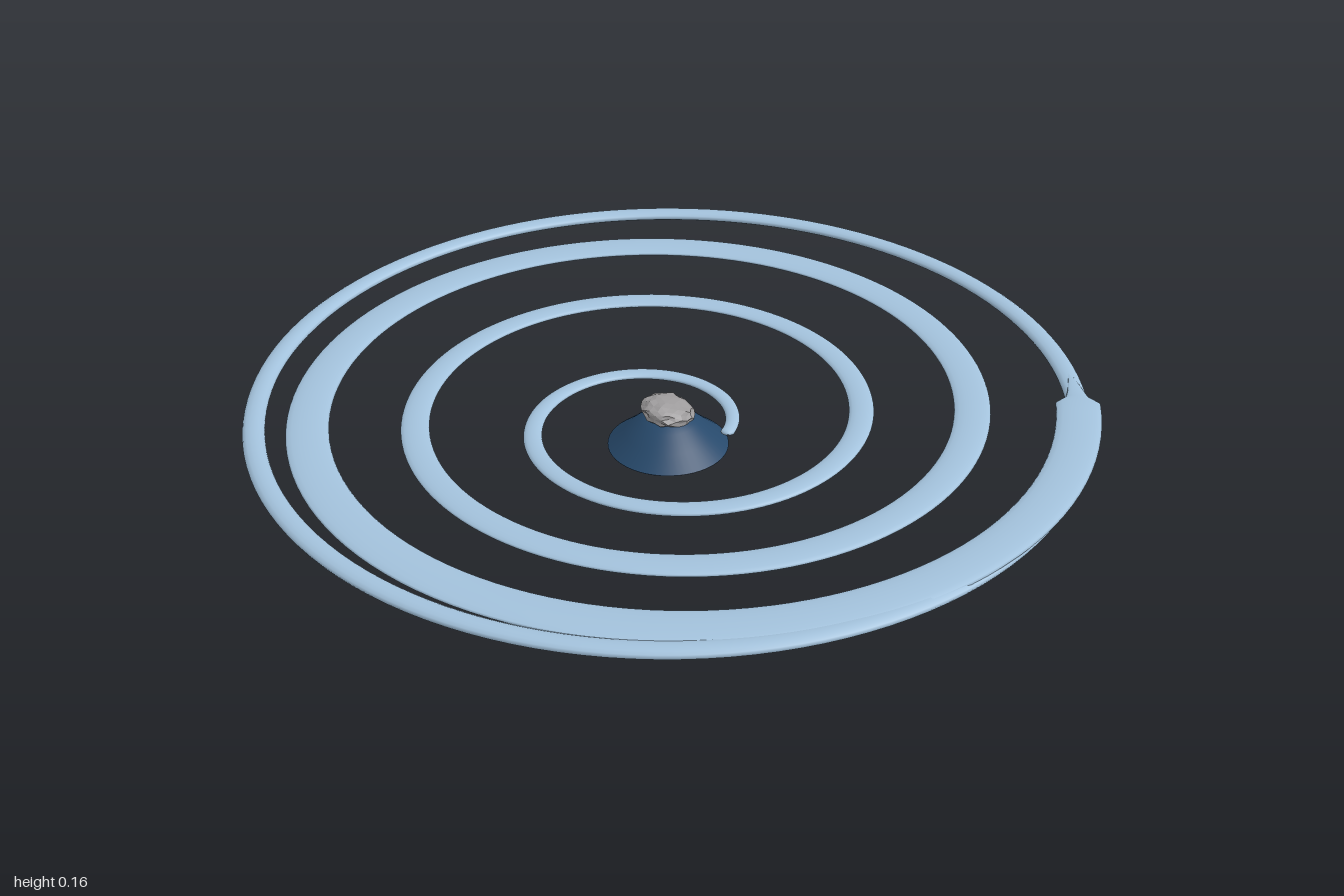
import * as THREE from 'three';

const paleBlue = new THREE.MeshStandardMaterial({ color: 0xa3c2dc, name: 'pale blue' });
const deepBlue = new THREE.MeshStandardMaterial({ color: 0x27496b, name: 'deep blue', side: THREE.DoubleSide });
const stoneGrey = new THREE.MeshStandardMaterial({ color: 0x9c9a9b, name: 'stone grey', flatShading: true });

// One entry per quarter turn: distance from the centre, height, half width
const QUARTERS = [
  [0.135, 0.03, 0.018], [0.238, 0.045, 0.021], [0.326, 0.057, 0.022], [0.382, 0.07, 0.026],
  [0.452, 0.083, 0.03], [0.53, 0.097, 0.031], [0.6, 0.104, 0.033], [0.651, 0.111, 0.039],
  [0.711, 0.118, 0.043], [0.782, 0.125, 0.047], [0.845, 0.132, 0.049], [0.898, 0.14, 0.055],
  [0.953, 0.147, 0.052],
];

// Flattened tube that widens and climbs as it winds outwards
function spiralGeometry() {
  const rule = new THREE.CatmullRomCurve3(
    QUARTERS.map((q) => new THREE.Vector3(...q)), false, 'catmullrom', 0.5);
  const total = (QUARTERS.length - 1) * Math.PI / 2;
  const sides = 16, steps = 384, halfHeight = 0.009;

  // Stations: angle and width factor, with a rounded start and a spiked end
  const stations = [[-0.11, 0], [-0.09, 0.55], [-0.05, 0.87]];
  const last = total - 0.09;
  for (let i = 0; i <= steps; i++) stations.push([last * i / steps, 1]);
  stations.push([total - 0.06, 0.5], [total - 0.03, 0.36], [total + 0.02, 0.18], [total + 0.06, 0]);

  const positions = [], index = [];
  stations.forEach(([angle, scale], i) => {
    const p = rule.getPoint(THREE.MathUtils.clamp(angle / total, 0, 1));
    for (let j = 0; j < sides; j++) {
      const phi = j / sides * Math.PI * 2;
      const r = p.x + Math.cos(phi) * p.z * scale;
      positions.push(r * Math.cos(angle), p.y + Math.sin(phi) * halfHeight * scale, -r * Math.sin(angle));
      if (i === stations.length - 1) continue;
      const k = (j + 1) % sides;
      const a = i * sides + j, d = i * sides + k;
      index.push(a, a + sides, d, a + sides, d + sides, d);
    }
  });
  const geometry = new THREE.BufferGeometry();
  geometry.setAttribute('position', new THREE.Float32BufferAttribute(positions, 3));
  geometry.setIndex(index);
  geometry.computeVertexNormals();
  return geometry;
}

// Rough lump: an icosahedron with each corner pushed in or out
function lumpGeometry() {
  const geometry = new THREE.IcosahedronGeometry(1, 3);
  const pos = geometry.attributes.position;
  const v = new THREE.Vector3();
  for (let i = 0; i < pos.count; i++) {
    v.fromBufferAttribute(pos, i);
    const bump = Math.sin(v.x * 7 + 1) * Math.sin(v.y * 8 + 2) * Math.sin(v.z * 7.5 + 0.5);
    v.multiplyScalar(1 + 0.12 * bump);
    pos.setXYZ(i, v.x, v.y, v.z);
  }
  geometry.computeVertexNormals();
  return geometry;
}

export function createModel() {
  const model = new THREE.Group();
  model.name = 'spiralModel';
  const add = (name, geometry, material) => {
    const mesh = new THREE.Mesh(geometry, material);
    mesh.name = name;
    model.add(mesh);
    return mesh;
  };

  add('spiralArm', spiralGeometry(), paleBlue);

  // Outer ring, flattened
  const ring = add('outerRing', new THREE.TorusGeometry(0.962, 0.026, 14, 128).rotateX(Math.PI / 2), paleBlue);
  ring.scale.y = 0.48;
  ring.position.set(-0.01, 0.135, 0);

  // Low conical hub with a flat underside
  const profile = [[0, 0], [0.145, 0], [0.145, 0.001], [0.105, 0.034], [0.07, 0.066], [0.035, 0.083], [0, 0.088]]
    .map(([x, y]) => new THREE.Vector2(x, y));
  const hub = add('hub', new THREE.LatheGeometry(profile, 48), deepBlue);
  hub.position.x = -0.008;

  // Lump resting on the hub
  const lump = add('lump', lumpGeometry(), stoneGrey);
  lump.scale.set(0.064, 0.03, 0.062);
  lump.rotation.z = -0.2;
  lump.position.set(-0.01, 0.088, -0.005);

  return model;
}
